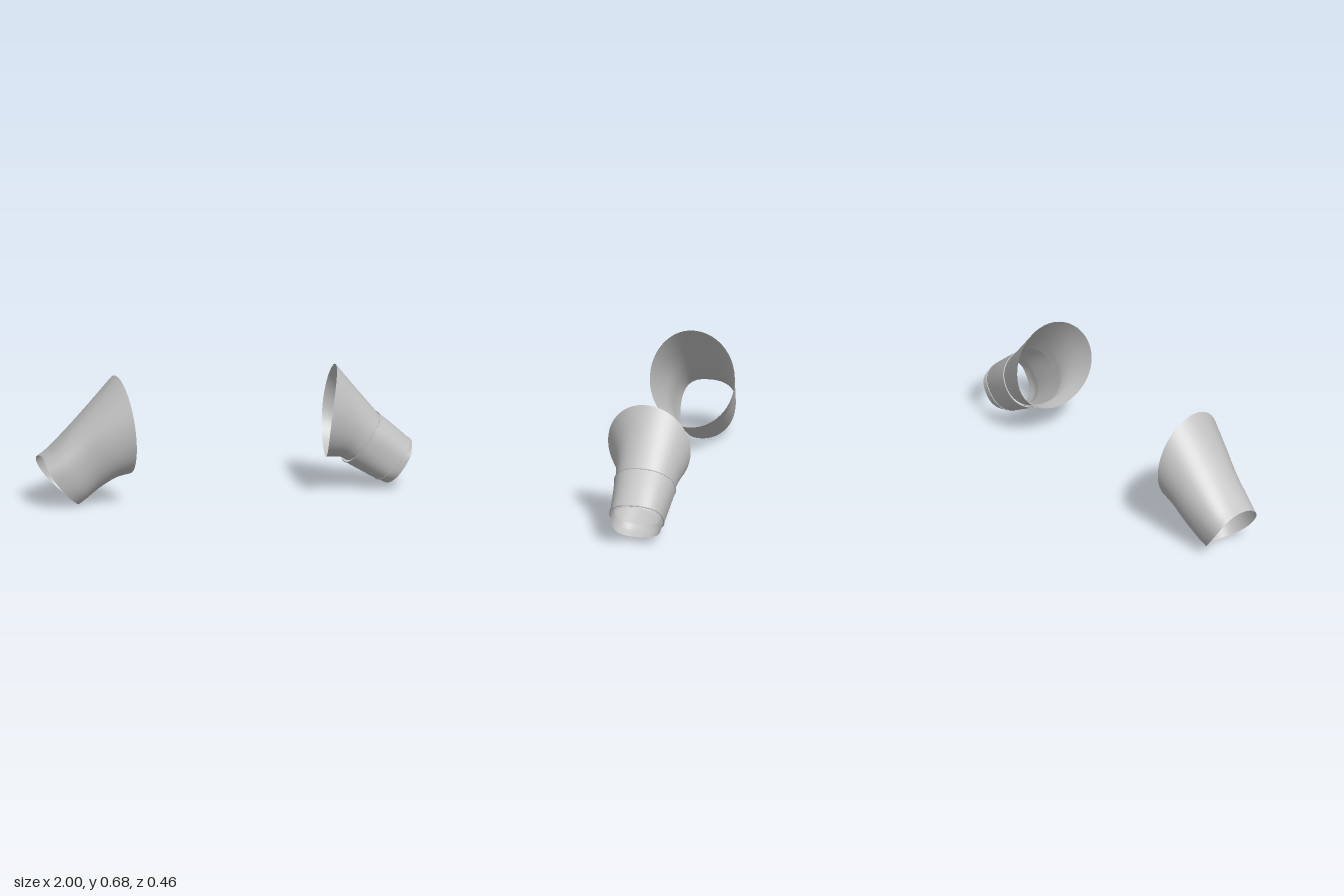
import * as THREE from 'three';

const AROUND = 64;
const STEPS = 10;

// Cross-section: [topX, topY, bottomX, bottomY, frontZ, backZ, skew, bow, roundness]
// skew shifts x from back to front, bow pushes both sides outward in x,
// roundness 1 is an ellipse and smaller values are more boxy.
function pointOn(sec, angle, side) {
  const [tx, ty, bx, by, zf, zb, skew, bow, power] = sec;
  const soft = (v) => Math.sign(v) * Math.pow(Math.abs(v), power);
  const c = soft(Math.cos(angle));
  const s = soft(Math.sin(angle));
  const x = (tx + bx) / 2 + ((tx - bx) / 2) * c + skew * s + bow * s * s;
  const y = (ty + by) / 2 + ((ty - by) / 2) * c;
  return new THREE.Vector3(side * x, y, s > 0 ? s * zf : s * zb);
}

// Smooth blend through neighbouring sections
function blend(sections, t) {
  const n = sections.length - 1;
  const i = Math.min(Math.floor(t), n - 1);
  const u = t - i;
  const at = (k) => sections[Math.max(0, Math.min(n, k))];
  const [a, b, c, d] = [at(i - 1), at(i), at(i + 1), at(i + 2)];
  return b.map((v, k) => {
    const m0 = i > 0 ? (c[k] - a[k]) / 2 : c[k] - v;
    const m1 = i < n - 1 ? (d[k] - v) / 2 : c[k] - v;
    const u2 = u * u, u3 = u2 * u;
    return (2 * u3 - 3 * u2 + 1) * v + (u3 - 2 * u2 + u) * m0
      + (3 * u2 - 2 * u3) * c[k] + (u3 - u2) * m1;
  });
}

// Open cloth tube lofted through the sections
function loft(name, sections, side, material) {
  const positions = [];
  const indices = [];
  const rows = (sections.length - 1) * STEPS;
  for (let r = 0; r <= rows; r++) {
    const sec = blend(sections, r / STEPS);
    for (let j = 0; j < AROUND; j++) {
      const p = pointOn(sec, (j / AROUND) * Math.PI * 2, side);
      positions.push(p.x, p.y, p.z);
    }
  }
  for (let r = 0; r < rows; r++) {
    for (let j = 0; j < AROUND; j++) {
      const k = (j + 1) % AROUND;
      const a = r * AROUND + j, b = r * AROUND + k;
      const c = a + AROUND, d = b + AROUND;
      if (side > 0) indices.push(a, c, b, b, c, d);
      else indices.push(a, b, c, b, d, c);
    }
  }
  const geometry = new THREE.BufferGeometry();
  geometry.setAttribute('position', new THREE.Float32BufferAttribute(positions, 3));
  geometry.setIndex(indices);
  geometry.computeVertexNormals();
  const mesh = new THREE.Mesh(geometry, material);
  mesh.name = name;
  return mesh;
}

// Thin raised stitch line following one section
function seam(name, sec, side, radius, material) {
  const points = [];
  for (let j = 0; j < 32; j++) points.push(pointOn(sec, (j / 32) * Math.PI * 2, side));
  const curve = new THREE.CatmullRomCurve3(points, true);
  const mesh = new THREE.Mesh(new THREE.TubeGeometry(curve, 96, radius, 6, true), material);
  mesh.name = name;
  return mesh;
}

export function createModel() {
  const cloth = new THREE.MeshStandardMaterial({ color: 0xc0c0c0, side: THREE.DoubleSide });
  cloth.name = 'light grey cloth';

  // Left sleeve: flared upper part, separate narrow cuff and a protruding lining
  const left = new THREE.Group();
  left.name = 'leftSleeve';
  const cuffStart = [0.83, 0.40, 0.642, 0.15, 0.145, 0.18, 0, 0, 0.9];
  const cuffEnd = [0.998, 0.25, 0.81, 0.05, 0.135, 0.15, 0, 0, 0.8];
  left.add(
    loft('leftUpperSleeve', [
      [0.60, 0.675, 0.54, 0.185, 0.225, 0.232, -0.03, -0.017, 1],
      [0.69, 0.565, 0.59, 0.183, 0.172, 0.208, -0.015, -0.005, 0.97],
      [0.76, 0.48, 0.62, 0.178, 0.148, 0.19, -0.005, 0, 0.93],
      [0.83, 0.395, 0.65, 0.16, 0.14, 0.176, 0, 0, 0.9],
    ], 1, cloth),
    seam('leftCuffSeam', cuffStart, 1, 0.003, cloth),
    loft('leftCuff', [
      cuffStart,
      [0.915, 0.328, 0.725, 0.1, 0.138, 0.166, 0, 0, 0.85],
      cuffEnd,
    ], 1, cloth),
    seam('leftCuffHem', cuffEnd, 1, 0.003, cloth),
    loft('leftCuffLining', [
      [0.955, 0.275, 0.79, 0.075, 0.125, 0.142, 0, 0, 0.8],
      [0.993, 0.243, 0.82, 0.048, 0.128, 0.144, 0, 0.005, 0.8],
      [0.998, 0.238, 0.86, 0.027, 0.126, 0.144, -0.005, 0.02, 0.8],
    ], 1, cloth),
  );

  // Right sleeve: one fuller piece with an outward curved cuff edge
  const right = new THREE.Group();
  right.name = 'rightSleeve';
  right.add(
    loft('rightSleeveBody', [
      [0.59, 0.68, 0.535, 0.155, 0.216, 0.232, -0.025, 0, 1],
      [0.72, 0.54, 0.61, 0.137, 0.185, 0.214, -0.012, 0, 0.95],
      [0.83, 0.425, 0.69, 0.088, 0.152, 0.198, 0, 0.01, 0.9],
      [0.94, 0.312, 0.755, 0.037, 0.14, 0.176, 0, 0.03, 0.85],
      [0.998, 0.265, 0.80, 0.003, 0.13, 0.162, -0.005, 0.045, 0.85],
    ], -1, cloth),
  );

  const model = new THREE.Group();
  model.name = 'pairOfSleeves';
  model.add(left, right);
  return model;
}
